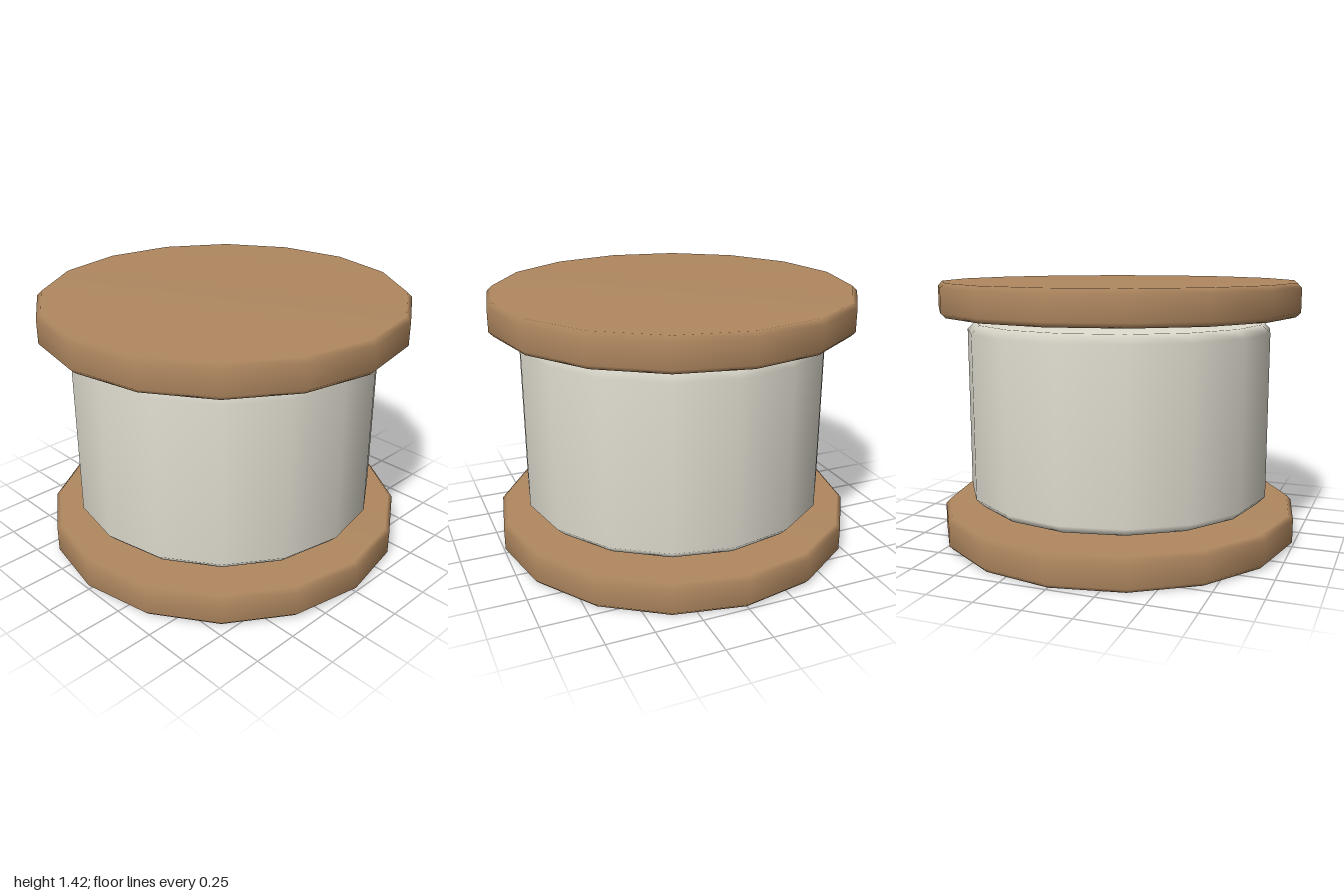
import * as THREE from 'three';

const SIDES = 16;

// Closed disc-like solid with a chamfered rim and smooth normals
function chamferedDrum(radius, bottom, top, inset, drop) {
  const profile = [
    [0, bottom],
    [radius - inset, bottom],
    [radius, bottom + drop],
    [radius, top - drop],
    [radius - inset, top],
    [0, top],
  ].map(([x, y]) => new THREE.Vector2(x, y));
  return new THREE.LatheGeometry(profile, SIDES);
}

export function createModel() {
  const group = new THREE.Group();
  group.name = 'spool';

  const wood = new THREE.MeshStandardMaterial({ color: 0xb08860 });
  wood.name = 'wood';
  const thread = new THREE.MeshStandardMaterial({ color: 0xe0ddd0 });
  thread.name = 'thread';

  const add = (name, geometry, material) => {
    const mesh = new THREE.Mesh(geometry, material);
    mesh.name = name;
    group.add(mesh);
    return mesh;
  };

  // End discs
  add('bottomFlange', chamferedDrum(1, 0.005, 0.182, 0.025, 0.025), wood);
  add('topFlange', chamferedDrum(1, 1.248, 1.425, 0.025, 0.025), wood);

  // Core joining the discs
  const core = add('core', new THREE.CylinderGeometry(0.355, 0.355, 1.2, SIDES), wood);
  core.position.y = 0.715;

  // Wound thread
  add('threadWinding', chamferedDrum(0.845, 0.225, 1.205, 0.045, 0.045), thread);

  // Rest the lower disc on the ground
  for (const part of group.children) part.position.y -= 0.005;
  return group;
}
